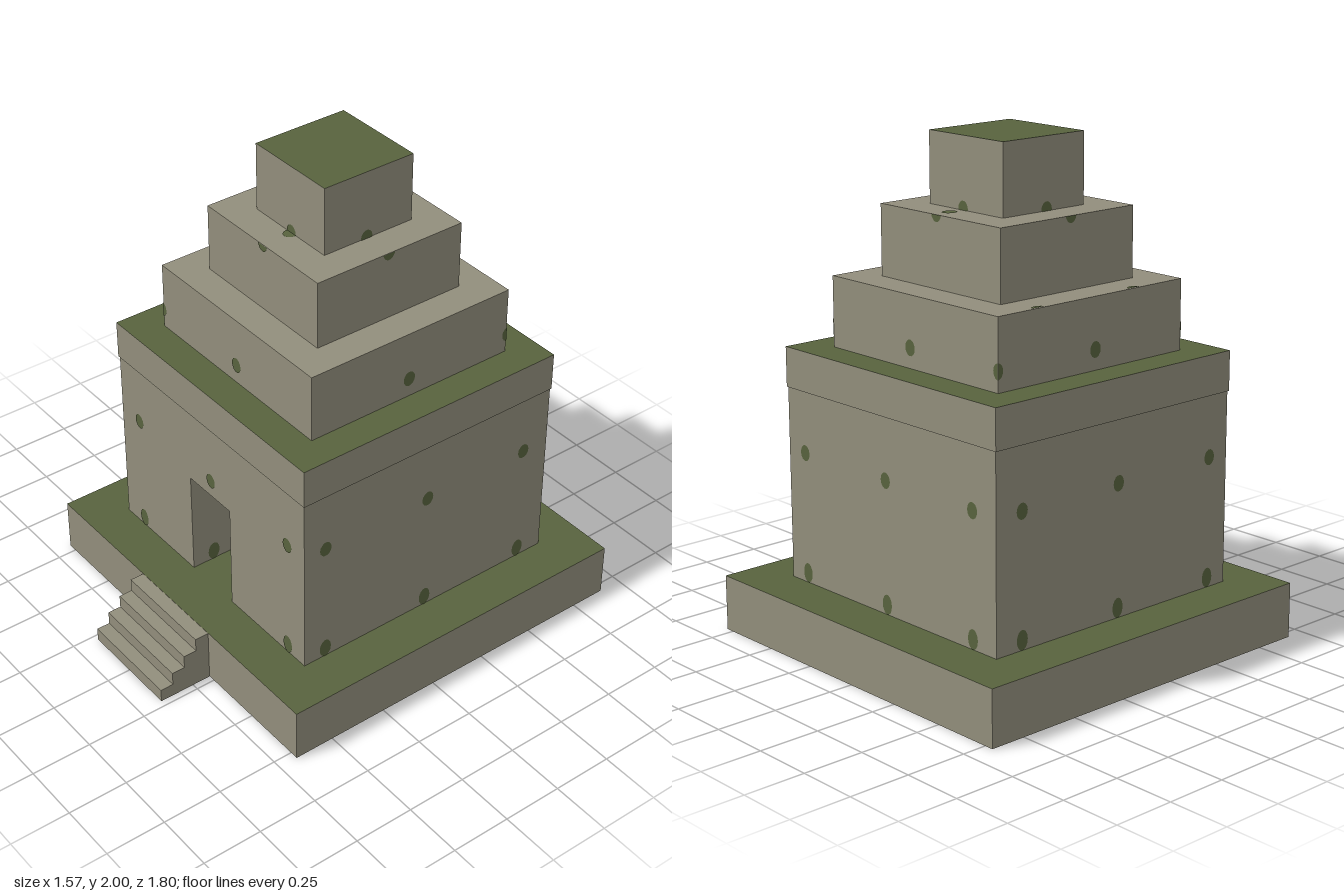
import * as THREE from 'three';

const stone = new THREE.MeshStandardMaterial({ name: 'stone', color: 0x928e7c, side: THREE.DoubleSide });
const moss = new THREE.MeshStandardMaterial({ name: 'moss', color: 0x58633e, side: THREE.DoubleSide });

// Block from min/max corners; optionally a mossy top and an open underside
function block(name, [x0, x1], [y0, y1], [z0, z1], mossyTop = false, open = false) {
  const geo = new THREE.BoxGeometry(x1 - x0, y1 - y0, z1 - z0);
  if (open) geo.groups = geo.groups.filter((g) => g.materialIndex !== 3);
  const mats = [stone, stone, mossyTop ? moss : stone, stone, stone, stone];
  const mesh = new THREE.Mesh(geo, mats);
  mesh.position.set((x0 + x1) / 2, (y0 + y1) / 2, (z0 + z1) / 2);
  mesh.name = name;
  return mesh;
}

// Flat moss spot at (u, v), cut off at the limits of its face; null when outside them
function spot(u, v, [u0, u1], [v0, v1]) {
  const ry = v < 0.3 && v > 0.2 ? 0.04 : 0.032;
  if (u + 0.027 <= u0 || u - 0.027 >= u1 || v + ry <= v0 || v - ry >= v1) return null;
  const geo = new THREE.CircleGeometry(1, 14);
  const p = geo.attributes.position;
  for (let i = 0; i < p.count; i++) {
    p.setXY(i,
      THREE.MathUtils.clamp(u + p.getX(i) * 0.027, u0, u1),
      THREE.MathUtils.clamp(v + p.getY(i) * ry, v0, v1));
  }
  const mesh = new THREE.Mesh(geo, moss);
  mesh.name = 'mossSpot';
  return mesh;
}

// Regular grid of moss spots over the four sides of a block, and its top if wanted
const GRID_X = [-0.475, 0.01, 0.495];
const GRID_Y = [0.267, 0.755, 1.24, 1.725];
const GRID_Z = [0.39, -0.1, -0.585];
const LIFT = 0.003;
function mossSpots(x, y, z, top = false, skip = () => false) {
  const group = new THREE.Group();
  group.name = 'mossSpots';
  const flip = ([a, b]) => [-b, -a];
  const neg = (list) => list.map((n) => -n);
  const faces = [
    { id: 'front', us: GRID_X, ur: x, pos: [0, 0, z[1] + LIFT], rot: 0 },
    { id: 'back', us: neg(GRID_X), ur: flip(x), pos: [0, 0, z[0] - LIFT], rot: Math.PI },
    { id: 'left', us: neg(GRID_Z), ur: flip(z), pos: [x[1] + LIFT, 0, 0], rot: Math.PI / 2 },
    { id: 'right', us: GRID_Z, ur: z, pos: [x[0] - LIFT, 0, 0], rot: -Math.PI / 2 },
  ];
  for (const f of faces) {
    for (const u of f.us) for (const v of GRID_Y) {
      const s = skip(f.id, u, v) ? null : spot(u, v, f.ur, y);
      if (!s) continue;
      s.position.set(...f.pos);
      s.rotation.y = f.rot;
      group.add(s);
    }
  }
  if (top) {
    for (const u of GRID_X) for (const v of [0.385, -0.1]) {
      const s = spot(u, v, x, flip(z));
      if (!s) continue;
      s.position.y = y[1] + LIFT;
      s.rotation.x = -Math.PI / 2;
      group.add(s);
    }
  }
  return group;
}

export function createModel() {
  const model = new THREE.Group();
  model.name = 'steppedTemple';

  // Hollow platform with a mossy top
  model.add(block('platform', [-0.788, 0.785], [0, 0.225], [-0.9, 0.67], true, true));

  // Front stairs
  const stairs = new THREE.Group();
  stairs.name = 'stairs';
  for (let i = 0; i < 4; i++) {
    stairs.add(block('step', [-0.225, 0.222], [i * 0.05625, (i + 1) * 0.05625], [0.671, 0.9 - i * 0.0565]));
  }
  model.add(stairs);

  // Chamber: front wall with a doorway, then the three other thick walls
  const hx = [-0.598, 0.596], hz = [-0.708, 0.488], wall = 0.185;
  const floor = 0.226, eave = 1.0;
  const door = [-0.132, 0.127], doorTop = 0.68;
  const outline = new THREE.Shape([
    [hx[0], floor], [door[0], floor], [door[0], doorTop], [door[1], doorTop],
    [door[1], floor], [hx[1], floor], [hx[1], eave], [hx[0], eave],
  ].map(([a, b]) => new THREE.Vector2(a, b)));
  const front = new THREE.Mesh(
    new THREE.ExtrudeGeometry(outline, { depth: wall, bevelEnabled: false }), stone);
  front.position.z = hz[1] - wall;
  front.name = 'frontWall';
  model.add(front);
  const inner = [hz[0] + wall, hz[1] - wall];
  model.add(block('backWall', hx, [floor, eave], [hz[0], inner[0]]));
  model.add(block('rightWall', [hx[0], hx[0] + wall], [floor, eave], inner));
  model.add(block('leftWall', [hx[1] - wall, hx[1]], [floor, eave], inner));
  model.add(block('chamberFloor', [hx[0] + wall, hx[1] - wall], [floor, floor + 0.003], inner));
  model.add(block('roofSlab', [-0.603, 0.6], [eave, 1.16], [-0.712, 0.492], true));
  model.add(mossSpots(hx, [floor, eave], hz, false,
    (id, u, v) => id === 'front' && u > door[0] && u < door[1] && v < doorTop));

  // Moss inside the doorway and on the chamber's back wall
  for (const side of [0, 1]) {
    const s = spot(0, 0.267, [-1, 1], [floor, doorTop]);
    s.position.set(door[side] + (side ? -LIFT : LIFT), 0, 0.39);
    s.rotation.y = side ? -Math.PI / 2 : Math.PI / 2;
    model.add(s);
  }
  const inside = spot(0.01, 0.267, [-1, 1], [floor, eave]);
  inside.position.z = inner[0] + LIFT;
  model.add(inside);

  // Stepped tiers of the roof
  const tiers = [
    { name: 'lowerTier', x: [-0.47, 0.467], y: [1.16, 1.44], z: [-0.58, 0.355], spots: true },
    { name: 'middleTier', x: [-0.338, 0.334], y: [1.44, 1.72], z: [-0.447, 0.226], spots: true },
    { name: 'topTier', x: [-0.207, 0.203], y: [1.72, 2], z: [-0.315, 0.094], mossy: true },
  ];
  for (const t of tiers) {
    model.add(block(t.name, t.x, t.y, t.z, t.mossy));
    model.add(mossSpots(t.x, t.y, t.z, t.spots));
  }
  return model;
}
